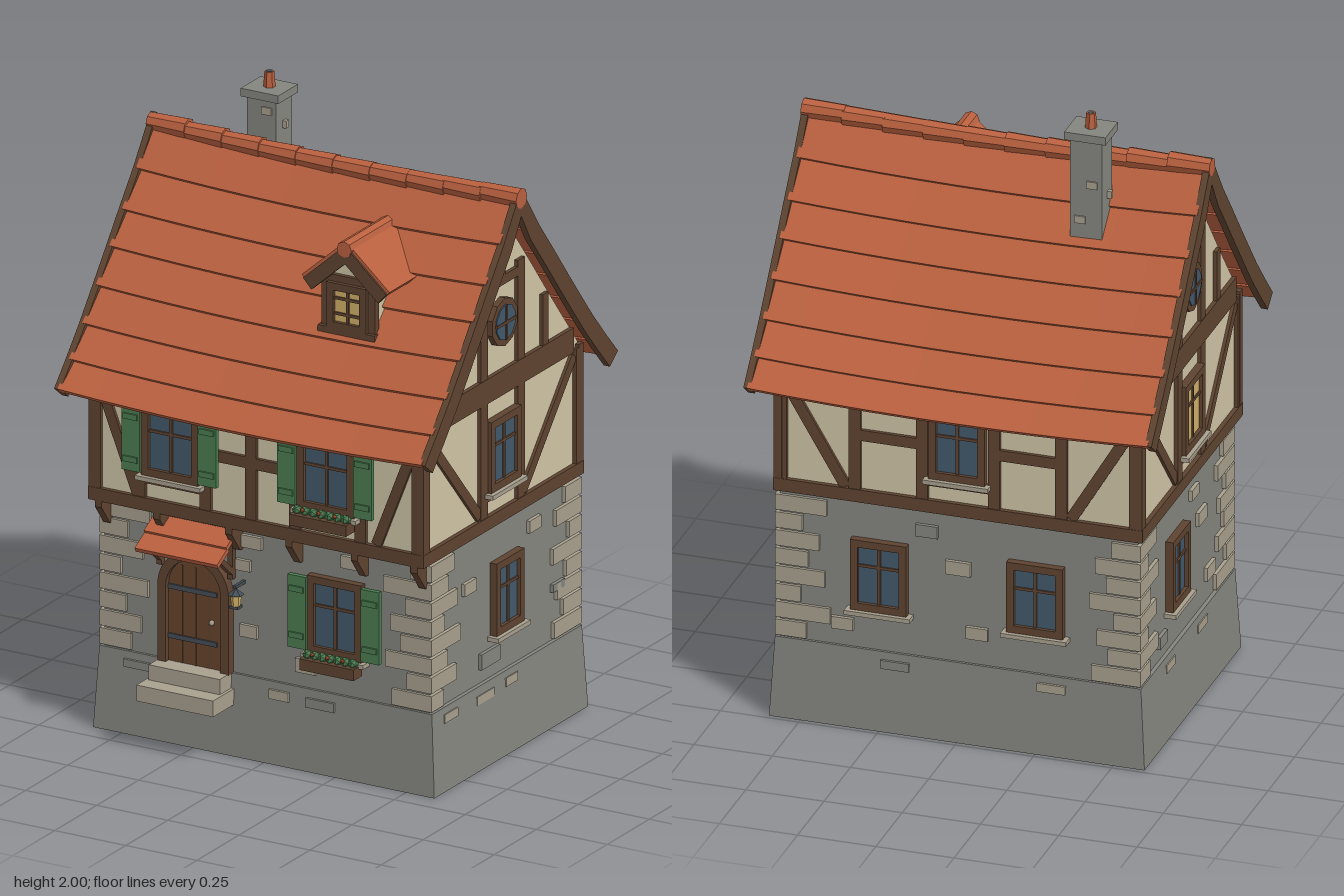
import * as THREE from 'three';

const M = {};
for (const [name, hex] of Object.entries({
  terracotta: 0xb9603f, timber: 0x5e4330, plaster: 0xcfc4a6, stone: 0x85857f, paleStone: 0xa8a08e,
  green: 0x4a7d50, glass: 0x42586a, lampGlow: 0xd0b068, iron: 0x454e55, doorWood: 0x68452c,
})) M[name] = Object.assign(new THREE.MeshStandardMaterial({ color: hex }), { name });

function add(parent, name, geo, mat, x = 0, y = 0, z = 0) {
  const m = new THREE.Mesh(geo, mat);
  m.name = name;
  m.position.set(x, y, z);
  parent.add(m);
  return m;
}
const box = (p, name, mat, w, h, d, x, y, z) => add(p, name, new THREE.BoxGeometry(w, h, d), mat, x, y, z);
function flat(geo) {
  const g = geo.index ? geo.toNonIndexed() : geo;
  g.computeVertexNormals();
  return g;
}
// Straight timber between two points of a wall plane
function bar(p, name, mat, x1, y1, x2, y2, w, d = 0.024, z = 0) {
  const m = box(p, name, mat, Math.hypot(x2 - x1, y2 - y1), w, d, (x1 + x2) / 2, (y1 + y2) / 2, z);
  m.rotation.z = Math.atan2(y2 - y1, x2 - x1);
  return m;
}
// Extrude a [z, y] outline along x
function extrudeX(pts, x0, x1, steps = 1) {
  const s = new THREE.Shape(pts.map(([z, y]) => new THREE.Vector2(-z, y)));
  return new THREE.ExtrudeGeometry(s, { depth: x1 - x0, steps, bevelEnabled: false }).rotateY(Math.PI / 2).translate(x0, 0, 0);
}
// Group whose local +z faces out of a wall
function facade(root, name, ry, dist) {
  const g = new THREE.Group();
  g.name = name;
  g.rotation.y = ry;
  g.position.set(Math.sin(ry) * dist, 0, Math.cos(ry) * dist);
  root.add(g);
  return g;
}

function addWindow(p, x, y, w, h, { pane = M.glass, rows = 2, sill = true, shutters = false, flowers = false } = {}) {
  const g = new THREE.Group();
  g.name = 'window';
  g.position.set(x, y, 0);
  p.add(g);
  const f = 0.024;
  box(g, 'pane', pane, w - f, h - f, 0.008, 0, 0, 0.009);
  for (const s of [-1, 1]) {
    box(g, 'frameSide', M.timber, f, h, 0.05, s * (w - f) / 2, 0, 0);
    box(g, 'frameRail', M.timber, w, f, 0.05, 0, s * (h - f) / 2, 0);
  }
  box(g, 'mullion', M.timber, 0.01, h - f, 0.016, 0, 0, 0.01);
  for (let i = 1; i < rows; i++) box(g, 'glazingBar', M.timber, w - f, 0.009, 0.016, 0, h * (i / rows - 0.5) + (rows === 2 ? 0.03 : 0), 0.01);
  if (sill) box(g, 'sill', M.paleStone, w + 0.03, 0.014, 0.05, 0, -h / 2 - 0.007, 0.014);
  if (shutters) for (const s of [-1, 1]) {
    const sx = s * (w / 2 + 0.034);
    box(g, 'shutter', M.green, 0.064, h - 0.015, 0.016, sx, 0, 0.022);
    for (const t of [-1, 1]) box(g, 'shutterBatten', M.green, 0.05, 0.018, 0.008, sx, t * h * 0.3, 0.032);
  }
  if (flowers) {
    box(g, 'flowerBox', M.timber, w, 0.036, 0.05, 0, -h / 2 - 0.025, 0.045);
    for (let i = 0; i < 7; i++) {
      const fx = (i / 6 - 0.5) * (w - 0.03);
      add(g, 'leaves', new THREE.IcosahedronGeometry(0.017), M.green, fx, -h / 2 + 0.002, 0.045);
      if (i % 2) add(g, 'flower', new THREE.IcosahedronGeometry(0.008), M.terracotta, fx, -h / 2 + 0.012, 0.064);
    }
  }
}

// Main roof line: ridge to eave as [z, y], with a gentle ridge sag
const PROFILE = [[0, 1.815], [0.09, 1.685], [0.175, 1.58], [0.25, 1.485], [0.33, 1.385], [0.41, 1.287], [0.49, 1.197], [0.56, 1.122]];
const sag = (x) => -0.018 * (1 - (x / 0.65) ** 2);

function buildRoof(root) {
  const off = ([z, y], d) => [z + d * 0.78, y + d * 0.62];
  for (const s of [1, -1]) {
    const side = (pts) => pts.map(([z, y]) => [z * s, y]);
    for (let i = 0; i < PROFILE.length - 1; i++) {
      const a = PROFILE[i], b = PROFILE[i + 1];
      const geo = extrudeX(side([off(a, 0.004), off(b, 0.022), off(b, -0.006), off(a, -0.012)]), -0.64, 0.64, 10);
      const v = geo.attributes.position;
      for (let k = 0; k < v.count; k++) v.setY(k, v.getY(k) + sag(v.getX(k)));
      add(root, 'tileCourse', flat(geo), M.terracotta);
    }
    // Barge boards on both gables
    const inner = PROFILE.slice(1).map((p) => off(p, -0.042)).reverse();
    const outline = side([[0, 1.845], ...PROFILE.slice(1).map((p) => off(p, 0.018)), ...inner, [0, 1.755]]);
    for (const x of [-0.652, 0.63]) add(root, 'bargeBoard', extrudeX(outline, x, x + 0.022), M.timber);
  }
  for (let i = 0; i < 10; i++) {
    const x = -0.585 + i * 0.13;
    add(root, 'ridgeTile', flat(new THREE.CylinderGeometry(0.029, 0.033, 0.135, 8).rotateZ(Math.PI / 2)), M.terracotta, x, 1.816 + sag(x), 0);
  }
}

function buildDormer(root) {
  const g = new THREE.Group();
  g.name = 'dormer';
  g.position.x = 0.235;
  root.add(g);
  const s = new THREE.Shape([[-0.085, 1.36], [0.085, 1.36], [0.085, 1.575], [0, 1.655], [-0.085, 1.575]].map((p) => new THREE.Vector2(...p)));
  add(g, 'dormerWall', new THREE.ExtrudeGeometry(s, { depth: 0.21, bevelEnabled: false }), M.plaster, 0, 0, 0.1);
  const front = facade(g, 'dormerFront', 0, 0.312);
  addWindow(front, 0, 1.485, 0.14, 0.15, { pane: M.lampGlow, rows: 3, sill: false });
  box(front, 'dormerSill', M.timber, 0.2, 0.02, 0.04, 0, 1.405, 0.005);
  bar(front, 'dormerRail', M.timber, -0.09, 1.57, 0.09, 1.57, 0.025);
  for (const k of [-1, 1]) {
    bar(front, 'dormerPost', M.timber, k * 0.082, 1.39, k * 0.082, 1.58, 0.025);
    bar(g, 'dormerRoof', M.terracotta, 0, 1.69, k * 0.147, 1.56, 0.022, 0.26, 0.21);
    bar(g, 'dormerBarge', M.timber, 0, 1.662, k * 0.132, 1.544, 0.044, 0.018, 0.337);
  }
  add(g, 'dormerRidge', flat(new THREE.CylinderGeometry(0.026, 0.026, 0.265, 8).rotateX(Math.PI / 2)), M.terracotta, 0, 1.68, 0.217);
}

function buildChimney(root) {
  const g = new THREE.Group();
  g.name = 'chimney';
  g.position.set(-0.307, 0, -0.123);
  root.add(g);
  box(g, 'chimneyStack', M.stone, 0.102, 0.48, 0.096, 0, 1.69, 0);
  box(g, 'chimneyCap', M.stone, 0.132, 0.026, 0.118, 0, 1.938, 0);
  add(g, 'chimneyPot', flat(new THREE.CylinderGeometry(0.015, 0.019, 0.052, 6)), M.terracotta, 0, 1.974, 0);
  add(g, 'potOpening', new THREE.CylinderGeometry(0.01, 0.01, 0.002, 6), M.iron, 0, 2.0, 0);
  for (const [x, y, z] of [[0.02, 1.89, 0.045], [-0.02, 1.78, -0.045], [0.048, 1.84, 0], [-0.048, 1.73, 0.01], [0.02, 1.66, -0.045]])
    box(g, 'chimneyStone', M.paleStone, 0.035, 0.024, 0.016, x * 0.97, y, z);
}

function buildDoor(p) {
  const arch = (w, r) => {
    const s = new THREE.Shape();
    s.moveTo(-w, 0).lineTo(w, 0).lineTo(w, r).absarc(0, r, w, 0, Math.PI, false);
    return s;
  };
  const g = new THREE.Group();
  g.name = 'door';
  g.position.set(-0.243, 0.262, 0);
  p.add(g);
  const frame = arch(0.125, 0.25);
  frame.holes.push(arch(0.096, 0.25));
  add(g, 'doorFrame', new THREE.ExtrudeGeometry(frame, { depth: 0.03, bevelEnabled: false }), M.timber);
  add(g, 'doorLeaf', new THREE.ExtrudeGeometry(arch(0.097, 0.25), { depth: 0.012, bevelEnabled: false }), M.doorWood);
  for (const x of [-0.048, 0, 0.048]) box(g, 'plankJoint', M.timber, 0.004, 0.32, 0.004, x, 0.16, 0.012);
  for (const y of [0.085, 0.245]) box(g, 'hingeStrap', M.iron, 0.17, 0.015, 0.006, -0.01, y, 0.015);
  add(g, 'doorKnob', new THREE.SphereGeometry(0.009, 8, 6), M.paleStone, 0.06, 0.155, 0.02);
  // Steps
  box(p, 'upperStep', M.paleStone, 0.25, 0.05, 0.12, -0.245, 0.24, 0.018);
  box(p, 'lowerStep', M.paleStone, 0.27, 0.052, 0.2, -0.245, 0.19, 0.035);
  // Tiled awning with struts
  const tilt = Math.atan2(0.075, 0.115);
  for (const [y, z] of [[0.705, 0.038], [0.666, 0.092]])
    box(p, 'awningTiles', M.terracotta, 0.29, 0.016, 0.074, -0.245, y, z).rotation.x = tilt - 0.08;
  for (const x of [-0.37, -0.12]) {
    box(p, 'awningPost', M.timber, 0.018, 0.15, 0.018, x, 0.645, 0.008);
    box(p, 'awningStrut', M.timber, 0.018, 0.018, 0.12, x, 0.625, 0.05).rotation.x = -0.7;
  }
  // Lantern
  box(p, 'lanternArm', M.iron, 0.01, 0.01, 0.06, -0.08, 0.565, 0.028);
  add(p, 'lanternCap', flat(new THREE.ConeGeometry(0.026, 0.02, 6)), M.iron, -0.08, 0.55, 0.05);
  add(p, 'lanternLight', flat(new THREE.CylinderGeometry(0.018, 0.014, 0.04, 6)), M.lampGlow, -0.08, 0.522, 0.05);
  box(p, 'lanternBase', M.iron, 0.03, 0.008, 0.03, -0.08, 0.5, 0.05);
}

function buildStonework(root) {
  const zc = -0.0275;
  const plinth = new THREE.CylinderGeometry(0.7071 * 0.975, 0.7071, 1, 4, 1, true).rotateY(Math.PI / 4).scale(1.2, 0.26, 0.915);
  const plinthMat = M.stone.clone();
  plinthMat.side = THREE.DoubleSide;
  add(root, 'plinth', flat(plinth), plinthMat, 0, 0.13, zc);
  box(root, 'plinthLedge', M.stone, 1.17, 0.015, 0.892, 0, 0.2575, zc);
  box(root, 'groundFloor', M.stone, 1.144, 0.51, 0.875, 0, 0.52, zc);
  // Corner quoins, alternating long and short
  for (const sx of [-1, 1]) for (const sz of [-1, 1]) for (let i = 0; i < 8; i++) {
    const even = (i + (sx * sz > 0 ? 1 : 0)) % 2, j = ((i * 37 + sx * 11 + sz * 5 + 40) % 7) * 0.006;
    const lx = (even ? 0.14 : 0.075) + j, lz = (even ? 0.075 : 0.14) + j;
    box(root, 'quoin', M.paleStone, lx, 0.052, lz, sx * (0.584 - lx / 2), 0.297 + i * 0.06, zc + sz * (0.4475 - lz / 2));
  }
}
function addStones(p, list) {
  for (const [x, y, w, h, grey] of list) box(p, 'wallStone', grey ? M.stone : M.paleStone, w, h, 0.024, x, y, y < 0.26 ? 0.006 : 0);
}

function buildUpperWalls(root) {
  const half = PROFILE.slice(0, 6).map(([z, y]) => [z, y - 0.035]);
  half.push([0.463, 1.185], [0.463, 0.76]);
  const outline = [...half, ...half.slice(1).reverse().map(([z, y]) => [-z, y])];
  add(root, 'upperWalls', extrudeX(outline, -0.575, 0.575), M.plaster);

  const T = (p, ...a) => bar(p, 'timberBeam', M.timber, ...a);
  const frameWall = (p, hw, top) => {
    T(p, -hw, 0.777, hw, 0.777, 0.042, 0.03);
    for (const s of [-1, 1]) T(p, s * (hw - 0.02), 0.76, s * (hw - 0.02), top, 0.042, 0.026);
  };
  // Front wall
  const front = facade(root, 'upperFront', 0, 0.463);
  frameWall(front, 0.588, 1.18);
  T(front, -0.57, 1.15, 0.57, 1.15, 0.05);
  for (const x of [-0.41, -0.18, -0.02, 0.135, 0.365]) T(front, x, 0.79, x, 1.15, 0.038);
  T(front, -0.17, 0.98, 0.13, 0.98, 0.036);
  for (const s of [-1, 1]) T(front, s * 0.545, 1.12, s * 0.42, 0.8, 0.034, 0.02);
  for (const x of [-0.297, 0.25]) {
    T(front, x - 0.11, 0.86, x + 0.11, 0.86, 0.03);
    addWindow(front, x, 0.99, 0.2, 0.23, { shutters: true, flowers: x > 0 });
  }
  // Back wall
  const back = facade(root, 'upperBack', Math.PI, 0.463);
  frameWall(back, 0.588, 1.18);
  T(back, -0.57, 1.15, 0.57, 1.15, 0.05);
  for (const s of [-1, 1]) {
    for (const x of [0.115, 0.33]) T(back, s * x, 0.79, s * x, 1.15, 0.038);
    T(back, s * 0.12, 0.98, s * 0.33, 0.98, 0.036);
    T(back, s * 0.55, 1.12, s * 0.36, 0.8, 0.036, 0.02);
  }
  T(back, -0.11, 0.86, 0.11, 0.86, 0.03);
  addWindow(back, 0, 0.99, 0.18, 0.23);
  // Gable walls
  for (const s of [1, -1]) {
    const p = facade(root, s > 0 ? 'leftGable' : 'rightGable', s * Math.PI / 2, 0.575);
    frameWall(p, 0.476, 1.17);
    T(p, -0.42, 1.205, 0.42, 1.205, 0.08, 0.028);
    T(p, -0.13, 1.535, 0.13, 1.535, 0.03);
    T(p, 0, 1.53, 0, 1.76, 0.03);
    T(p, -0.1, 0.86, 0.1, 0.86, 0.03);
    for (const k of [-1, 1]) {
      T(p, k * 0.11, 0.79, k * 0.11, 1.57, 0.042);
      T(p, k * 0.255, 1.24, k * 0.255, 1.41, 0.034);
      T(p, k * 0.43, 1.15, k * 0.13, 0.81, 0.034, 0.02);
    }
    addWindow(p, 0, 0.99, 0.18, 0.23, { pane: s > 0 ? M.glass : M.lampGlow });
    add(p, 'roundFrame', flat(new THREE.CylinderGeometry(0.078, 0.078, 0.04, 10).rotateX(Math.PI / 2)), M.timber, 0, 1.402, 0);
    add(p, 'roundPane', new THREE.CylinderGeometry(0.058, 0.058, 0.006, 10).rotateX(Math.PI / 2), M.glass, 0, 1.402, 0.021);
    T(p, -0.056, 1.402, 0.056, 1.402, 0.009, 0.01, 0.022);
    T(p, 0, 1.346, 0, 1.458, 0.009, 0.01, 0.022);
  }
  // Brackets under the overhang
  for (const x of [-0.555, -0.35, -0.097, 0.115, 0.345, 0.555])
    add(root, 'bracket', extrudeX([[0.4, 0.765], [0.475, 0.765], [0.475, 0.735], [0.425, 0.67], [0.4, 0.67]], x - 0.012, x + 0.012), M.timber);
}

export function createModel() {
  const root = new THREE.Group();
  root.name = 'halfTimberedHouse';
  buildStonework(root);
  buildUpperWalls(root);
  buildRoof(root);
  buildDormer(root);
  buildChimney(root);
  // Ground floor openings and scattered stones
  const front = facade(root, 'lowerFront', 0, 0.41);
  buildDoor(front);
  addWindow(front, 0.25, 0.515, 0.19, 0.25, { shutters: true, flowers: true });
  addStones(front, [[-0.06, 0.41, 0.06, 0.04], [-0.05, 0.7, 0.07, 0.04], [0.14, 0.335, 0.07, 0.045], [-0.08, 0.62, 0.05, 0.035], [0.3, 0.7, 0.07, 0.04],
    [-0.45, 0.228, 0.09, 0.025, 1], [0.05, 0.225, 0.07, 0.03], [0.195, 0.222, 0.1, 0.03, 1]]);
  const left = facade(root, 'lowerLeft', Math.PI / 2, 0.572);
  addWindow(left, 0.03, 0.517, 0.165, 0.235);
  addStones(left, [[-0.185, 0.6, 0.07, 0.04], [-0.065, 0.335, 0.11, 0.05, 1], [0.34, 0.435, 0.07, 0.025, 1], [0.2, 0.68, 0.07, 0.04], [-0.31, 0.228, 0.08, 0.028],
    [-0.105, 0.222, 0.1, 0.028], [0.05, 0.228, 0.07, 0.028]]);
  const back = facade(root, 'lowerBack', Math.PI, 0.465);
  for (const x of [-0.25, 0.25]) addWindow(back, x, 0.517, 0.18, 0.235);
  addStones(back, [[0, 0.58, 0.08, 0.045], [0.06, 0.37, 0.07, 0.04], [-0.1, 0.69, 0.07, 0.04, 1], [-0.37, 0.34, 0.07, 0.04], [0.3, 0.225, 0.09, 0.028], [-0.2, 0.225, 0.09, 0.028, 1]]);
  const right = facade(root, 'lowerRight', -Math.PI / 2, 0.572);
  addWindow(right, -0.12, 0.517, 0.165, 0.235);
  addStones(right, [[0.12, 0.58, 0.08, 0.045], [0.2, 0.36, 0.08, 0.045], [0.05, 0.69, 0.07, 0.035], [-0.25, 0.33, 0.07, 0.04, 1], [0.1, 0.225, 0.09, 0.028], [-0.2, 0.225, 0.08, 0.028]]);
  return root;
}
